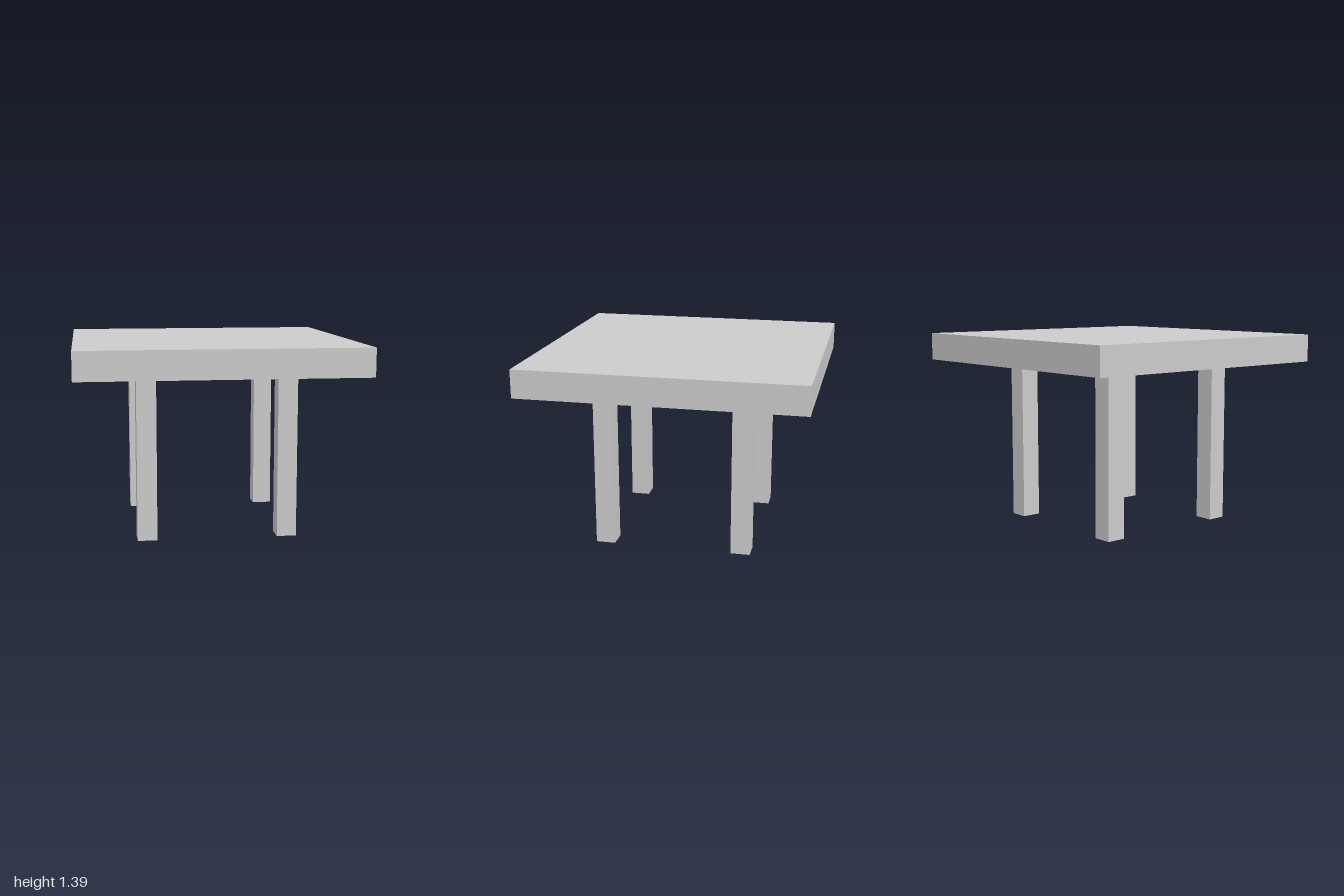
import * as THREE from 'three';

const TOP_SIZE = 2, TOP_THICKNESS = 0.2;
const LEG_WIDTH = 0.14, LEG_HEIGHT = 1.19, LEG_OFFSET = 0.5;

export function createModel() {
  const table = new THREE.Group();
  table.name = 'table';
  const material = new THREE.MeshStandardMaterial({ color: 0xcccccc, flatShading: true });

  // Square slab top
  const top = new THREE.Mesh(new THREE.BoxGeometry(TOP_SIZE, TOP_THICKNESS, TOP_SIZE), material);
  top.name = 'tableTop';
  top.position.y = LEG_HEIGHT + TOP_THICKNESS / 2;
  table.add(top);

  // Four square legs, set well in from the edges
  const legGeometry = new THREE.BoxGeometry(LEG_WIDTH, LEG_HEIGHT, LEG_WIDTH);
  for (const [xName, x] of [['Left', 1], ['Right', -1]]) {
    for (const [zName, z] of [['front', 1], ['back', -1]]) {
      const leg = new THREE.Mesh(legGeometry, material);
      leg.name = `${zName}${xName}Leg`;
      leg.position.set(x * LEG_OFFSET, LEG_HEIGHT / 2, z * LEG_OFFSET);
      table.add(leg);
    }
  }
  return table;
}
